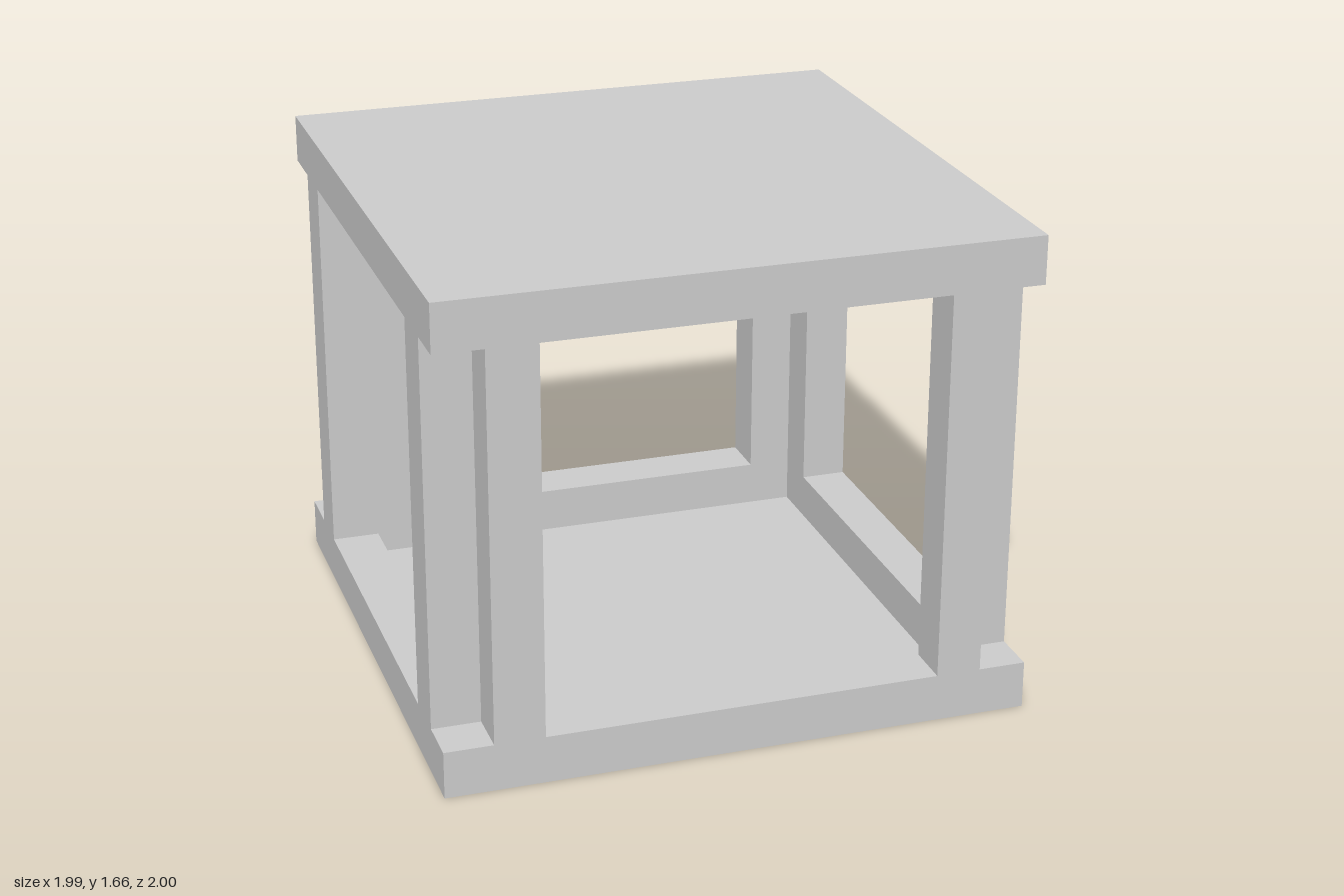
import * as THREE from 'three';

export function createModel() {
  const group = new THREE.Group();
  const material = new THREE.MeshStandardMaterial({ color: 0xcccccc, flatShading: true });

  // Box given by its minimum and maximum corners
  const block = (name, [x0, y0, z0], [x1, y1, z1]) => {
    const mesh = new THREE.Mesh(new THREE.BoxGeometry(x1 - x0, y1 - y0, z1 - z0), material);
    mesh.position.set((x0 + x1) / 2, (y0 + y1) / 2, (z0 + z1) / 2);
    mesh.name = name;
    group.add(mesh);
  };

  // Outer edge, notch edge and window edge along each axis
  const X = { outer: [-0.995, 0.993], notch: [-0.83, 0.832], window: [-0.661, 0.68] };
  const Z = { outer: [-1, 1], notch: [-0.821, 0.839], window: [-0.647, 0.662] };
  const H = 1.665, low = 0.163, high = 1.5, sheet = 0.006;
  const range = (a, b) => [Math.min(a, b), Math.max(a, b)];

  // Upper and lower rail rings, each closed by a thin flush panel
  const rings = [
    ['lower', 0, low, 0, sheet],
    ['upper', high, H, H - sheet, H],
  ];
  for (const [label, y0, y1, p0, p1] of rings) {
    for (const i of [0, 1]) {
      const [z0, z1] = range(Z.outer[i], Z.notch[i]);
      block(`${label}${i ? 'Front' : 'Back'}Rail`, [X.outer[0], y0, z0], [X.outer[1], y1, z1]);
      const [x0, x1] = range(X.outer[i], X.notch[i]);
      block(`${label}${i ? 'Left' : 'Right'}Rail`, [x0, y0, Z.notch[0]], [x1, y1, Z.notch[1]]);
    }
    block(`${label}Panel`, [X.notch[0], p0, Z.notch[0]], [X.notch[1], p1, Z.notch[1]]);
  }

  // Two posts at every corner, set either side of an open notch
  for (const i of [0, 1]) {
    for (const j of [0, 1]) {
      const corner = `${j ? 'front' : 'back'}${i ? 'Left' : 'Right'}`;
      const [ax0, ax1] = range(X.notch[i], X.window[i]);
      const [az0, az1] = range(Z.outer[j], Z.notch[j]);
      block(`${corner}FacePost`, [ax0, low, az0], [ax1, high, az1]);
      const [bx0, bx1] = range(X.outer[i], X.notch[i]);
      const [bz0, bz1] = range(Z.notch[j], Z.window[j]);
      block(`${corner}SidePost`, [bx0, low, bz0], [bx1, high, bz1]);
    }
  }
  return group;
}
